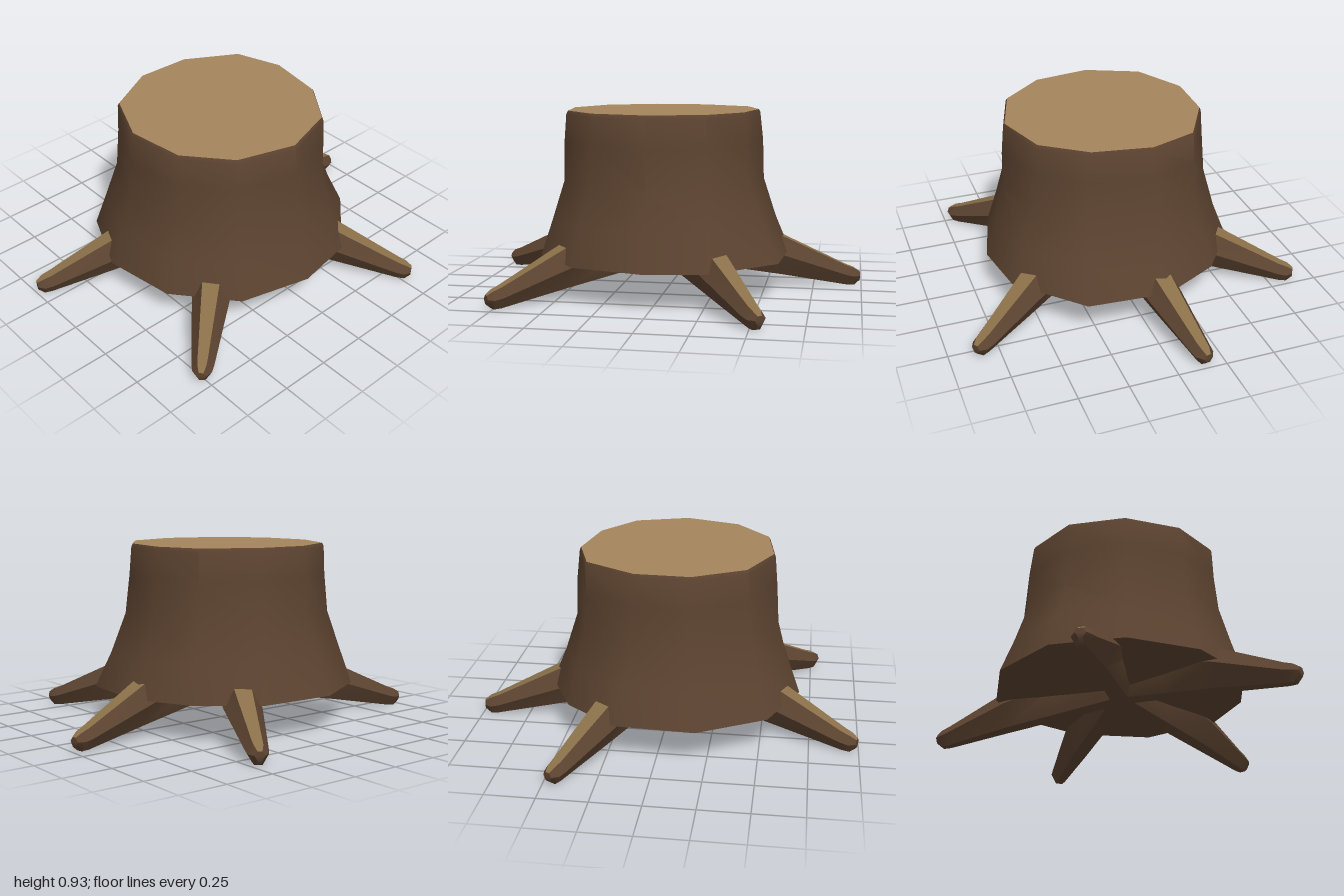
import * as THREE from 'three';
import { toCreasedNormals } from 'three/addons/utils/BufferGeometryUtils.js';

const BARK = 0x5c4330, CUT = 0xa5855c, WORN = 0x8a7049;

// Skins a stack of rings; sides picks the faces, caps close either end
function loft(rings, { sides, startCap = false, endCap = false, crease = 0.7 } = {}) {
  const pos = [];
  const tri = (...pts) => pts.forEach((p) => pos.push(p.x, p.y, p.z));
  const n = rings[0].length;
  const faces = sides ?? [...Array(n).keys()];
  for (let i = 0; i < rings.length - 1; i++) {
    for (const j of faces) {
      const k = (j + 1) % n, lo = rings[i], hi = rings[i + 1];
      tri(lo[j], hi[j], hi[k]);
      tri(lo[j], hi[k], lo[k]);
    }
  }
  const centre = (ring) => ring.reduce((s, p) => s.add(p), new THREE.Vector3()).divideScalar(n);
  for (let j = 0; j < n; j++) {
    const k = (j + 1) % n, first = rings[0], last = rings[rings.length - 1];
    if (startCap) tri(centre(first), first[j], first[k]);
    if (endCap) tri(centre(last), last[k], last[j]);
  }
  const geometry = new THREE.BufferGeometry();
  geometry.setAttribute('position', new THREE.Float32BufferAttribute(pos, 3));
  geometry.computeVertexNormals();
  return toCreasedNormals(geometry, crease);
}

function part(name, geometry, color) {
  const mesh = new THREE.Mesh(geometry, new THREE.MeshStandardMaterial({ color, roughness: 0.9 }));
  mesh.name = name;
  return mesh;
}

// Irregular outlines of the trunk (x, z), at the cut and at the foot
const topOutline = [[-0.16, -0.47], [0.12, -0.46], [0.38, -0.31], [0.46, -0.07], [0.41, 0.23], [0.25, 0.45],
  [-0.03, 0.54], [-0.32, 0.45], [-0.5, 0.235], [-0.54, -0.06], [-0.42, -0.33]];
const footOutline = [[-0.2, -0.62], [0.2, -0.6], [0.47, -0.4], [0.62, -0.1], [0.59, 0.31], [0.28, 0.61],
  [-0.03, 0.665], [-0.39, 0.57], [-0.63, 0.28], [-0.69, -0.09], [-0.54, -0.43]];

// Ring at height y, flared by t from cut to foot, with a slight wobble
function trunkRing(y, t, wobble = 0, scale = 1) {
  return topOutline.map(([x, z], i) => {
    const [fx, fz] = footOutline[i];
    const s = scale * (1 + wobble * Math.sin(i * 2.3 + y * 9));
    return new THREE.Vector3(
      THREE.MathUtils.lerp(x, fx, t) * s, y, THREE.MathUtils.lerp(z, fz, t) * s);
  });
}

// Root stations: distance fraction, width, underside height, upper height
const rootStations = [
  [0, 0.24, 0.16, 0.52],
  [0.3, 0.21, 0.115, 0.4],
  [0.6, 0.19, 0.07, 0.275],
  [0.93, 0.11, 0.012, 0.115],
  [0.97, 0.095, 0.01, 0.1],
  [1, 0.05, 0.035, 0.08],
];

// Six-sided ring, clockwise seen from the tip, starting with the top face
function rootRing([f, w, low, high], length) {
  const h = w / 2, shoulder = THREE.MathUtils.lerp(low, high, 0.55);
  return [[-0.45 * h, high], [0.45 * h, high], [h, shoulder],
    [0.4 * h, low], [-0.4 * h, low], [-h, shoulder]]
    .map(([x, y]) => new THREE.Vector3(x, y, f * length));
}

function createRoot(name, dx, dz) {
  const length = Math.hypot(dx, dz);
  const rings = rootStations.map((s) => rootRing(s, length));
  const root = new THREE.Group();
  root.name = name;
  root.add(
    part('rootBark', loft(rings, { sides: [1, 2, 3, 4, 5], startCap: true, endCap: true, crease: 0.9 }), BARK),
    part('rootWornTop', loft(rings, { sides: [0] }), WORN));
  root.rotation.y = Math.atan2(dx, dz);
  return root;
}

export function createModel() {
  const stump = new THREE.Group();
  stump.name = 'treeStump';

  // Flared trunk with a closed underside and a thin bark rim
  const trunkRings = [
    trunkRing(0.2, 1), trunkRing(0.38, 0.56, 0.008), trunkRing(0.58, 0.15, 0.01),
    trunkRing(0.78, 0.07, 0.01), trunkRing(0.925, 0), trunkRing(0.94, 0, 0, 0.985),
  ];
  stump.add(part('trunk', loft(trunkRings, { startCap: true }), BARK));

  // Pale cut surface
  const cut = trunkRings[trunkRings.length - 1];
  stump.add(part('cutTop', loft([cut], { endCap: true }), CUT));

  // Five roots spreading from a shared hub under the trunk
  const hub = new THREE.Vector3(-0.02, 0, 0.02);
  const tips = {
    backLeftRoot: [0.47, -0.88], leftRoot: [0.99, -0.155], frontLeftRoot: [0.55, 0.87],
    frontRightRoot: [-0.78, 0.71], rightRoot: [-0.99, -0.35],
  };
  for (const [name, [x, z]] of Object.entries(tips)) {
    const root = createRoot(name, x - hub.x, z - hub.z);
    root.position.copy(hub);
    stump.add(root);
  }
  // Rest the root tips on the ground
  const box = new THREE.Box3().setFromObject(stump);
  stump.children.forEach((child) => { child.position.y -= box.min.y; });
  return stump;
}
